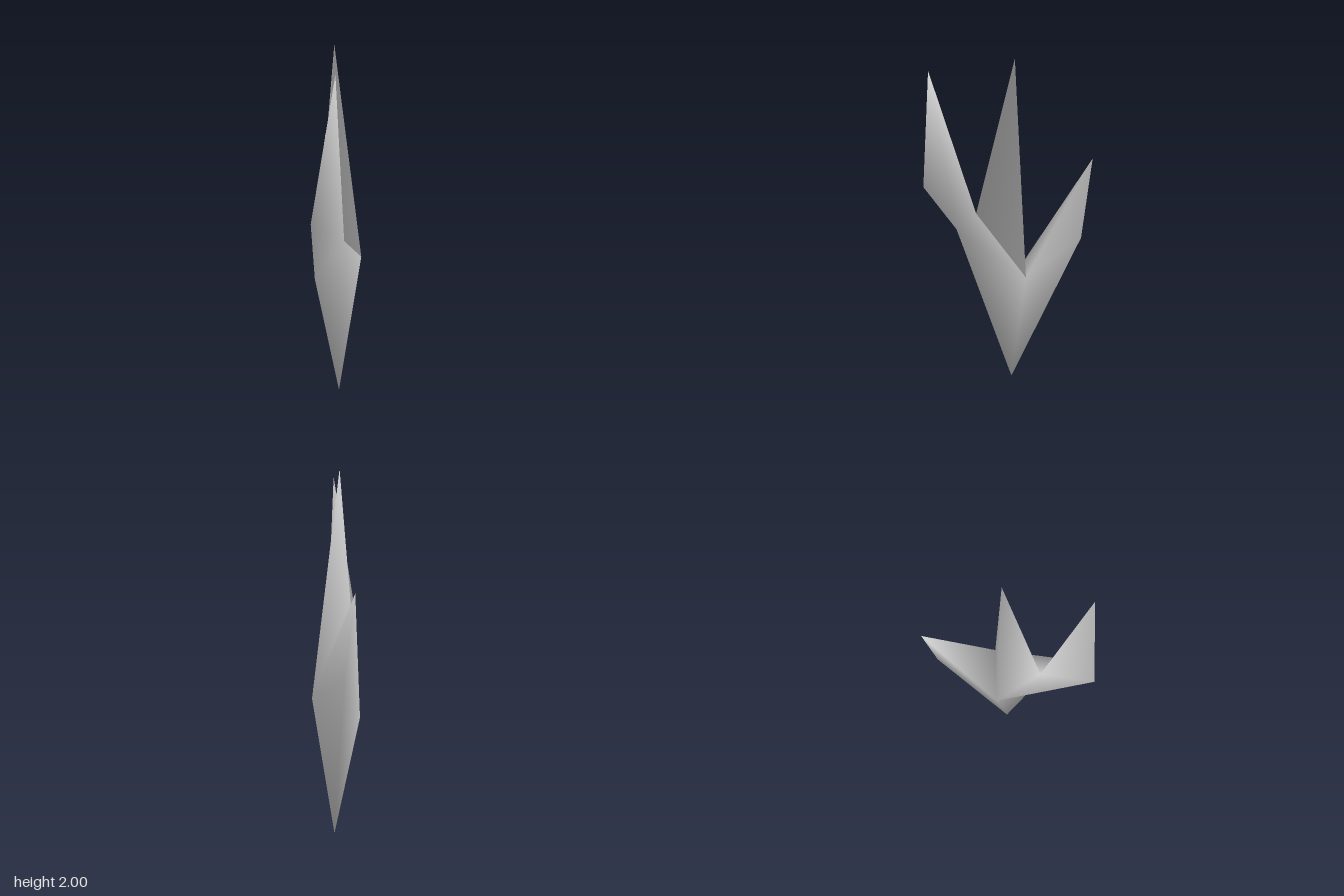
import * as THREE from 'three';

// Corner points of the three-pointed shard
const P = {
  root: [0.03, 0, -0.055],
  midTip: [0, 2, -0.057],
  frontTip: [0.095, 1.935, 0.357],
  frontCorner: [-0.01, 1.2, 0.445],
  frontHip: [0.115, 1.04, 0.23],
  frontNotch: [-0.015, 1.07, 0.155],
  leftHip: [-0.112, 0.68, -0.065],
  rightHip: [0.134, 0.8, -0.155],
  backTip: [-0.135, 1.42, -0.445],
  backCorner: [-0.075, 0.96, -0.413],
};

const faces = [
  // side towards +x
  ['midTip', 'frontNotch', 'rightHip'],
  ['rightHip', 'frontNotch', 'frontHip'],
  ['frontNotch', 'frontTip', 'frontHip'],
  ['frontHip', 'root', 'rightHip'],
  ['rightHip', 'root', 'backCorner'],
  ['rightHip', 'backCorner', 'backTip'],
  // front
  ['frontTip', 'frontCorner', 'frontHip'],
  ['frontHip', 'frontCorner', 'leftHip'],
  ['frontHip', 'leftHip', 'root'],
  // side towards -x
  ['midTip', 'leftHip', 'frontNotch'],
  ['frontNotch', 'leftHip', 'frontCorner'],
  ['frontNotch', 'frontCorner', 'frontTip'],
  ['leftHip', 'backTip', 'backCorner'],
  ['leftHip', 'backCorner', 'root'],
  // notch between the middle and back points
  ['midTip', 'rightHip', 'leftHip'],
  ['leftHip', 'rightHip', 'backTip'],
];

export function createModel() {
  // Shared corners, so the whole shard is shaded smoothly
  const names = Object.keys(P);
  const geometry = new THREE.BufferGeometry();
  geometry.setAttribute('position', new THREE.Float32BufferAttribute(Object.values(P).flat(), 3));
  geometry.setIndex(faces.flat().map((name) => names.indexOf(name)));
  geometry.computeVertexNormals();

  const shard = new THREE.Mesh(geometry, new THREE.MeshStandardMaterial({ color: 0xcccccc }));
  shard.name = 'shard';
  const group = new THREE.Group();
  group.name = 'threePointedShard';
  group.add(shard);
  return group;
}
